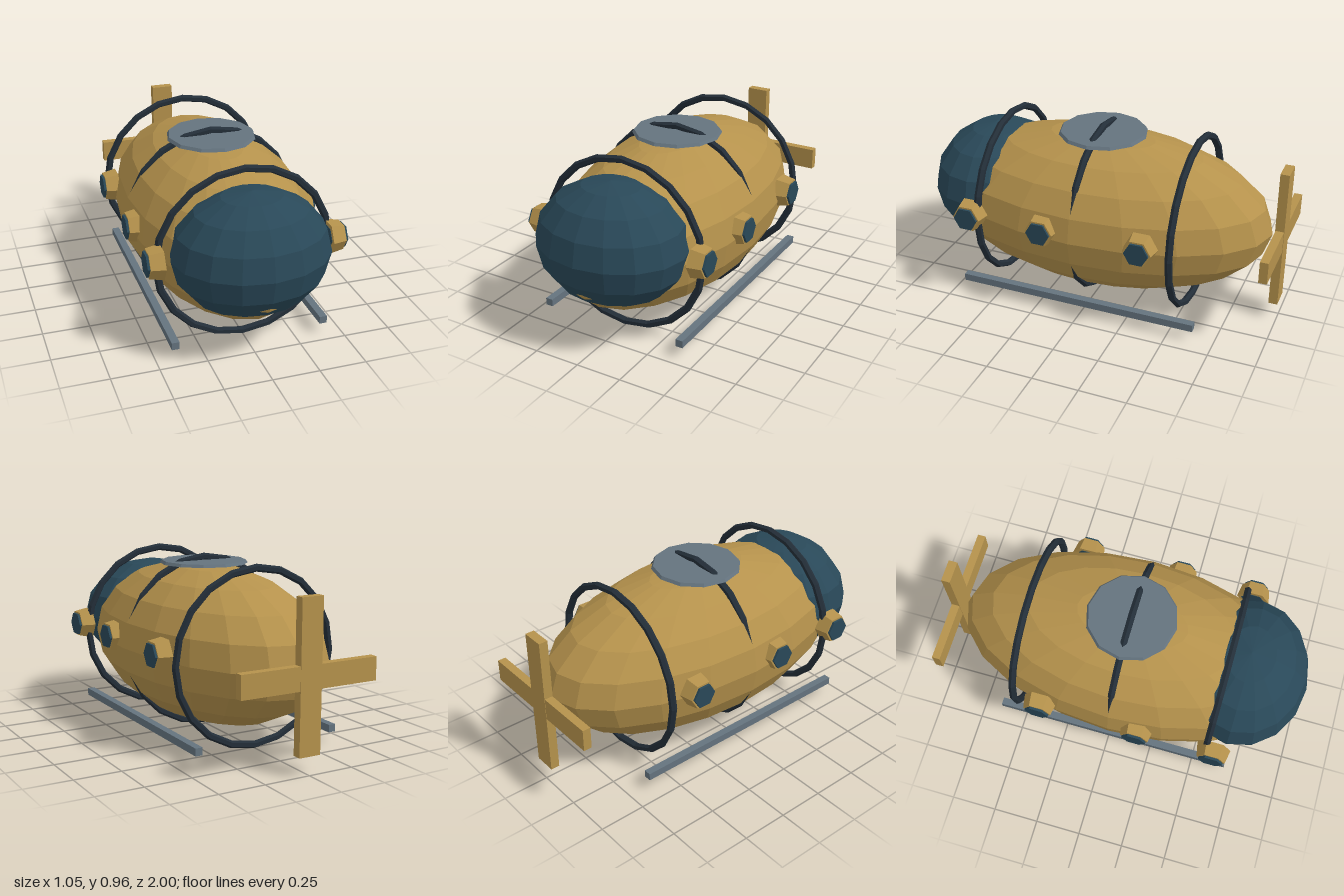
import * as THREE from 'three';

const mat = (color) => new THREE.MeshStandardMaterial({ color, flatShading: true });

export function createModel() {
  const model = new THREE.Group();
  const brass = mat(0xb5924c);
  const glass = mat(0x294858);
  const iron = mat(0x232e38);
  const steel = mat(0x64737e);
  const midY = 0.485, midZ = 0.025;

  const add = (name, geometry, material, x, y, z, parent = model) => {
    const mesh = new THREE.Mesh(geometry, material);
    mesh.name = name;
    mesh.position.set(x, y, z);
    parent.add(mesh);
    return mesh;
  };

  // Long egg-shaped hull and the viewing dome set into its nose
  add('hull', new THREE.SphereGeometry(1, 20, 10).scale(0.49, 0.43, 0.955), brass, 0, midY, midZ);
  add('noseDome', new THREE.SphereGeometry(1, 16, 8).scale(0.41, 0.325, 0.34), glass, 0, 0.545, 0.66);

  // Three hoops around the hull
  for (const z of [0.56, 0.022, -0.512]) {
    add('hoop', new THREE.TorusGeometry(0.46, 0.02, 6, 20), iron, 0, midY, z);
  }

  // Thin hatch plate on top
  add('hatch', new THREE.CylinderGeometry(0.23, 0.24, 0.016, 12), steel, 0, 0.92, 0.022);

  for (const side of [1, -1]) {
    // Portholes: brass rim with a protruding pane
    for (const z of [0.6, 0.18, -0.36]) {
      const porthole = new THREE.Group();
      porthole.name = 'porthole';
      porthole.position.set(side * 0.475, 0.525, z);
      porthole.rotation.z = -side * Math.PI / 2;
      add('rim', new THREE.CylinderGeometry(0.076, 0.09, 0.075, 6), brass, 0, 0, 0, porthole);
      add('pane', new THREE.CylinderGeometry(0.066, 0.066, 0.09, 6), glass, 0, 0.005, 0, porthole);
      model.add(porthole);
    }
    // Landing skid
    add('skid', new THREE.BoxGeometry(0.04, 0.04, 1.33), steel, side * 0.4, 0.085, 0.025);
  }

  // Four-armed propeller behind the tail
  const propeller = new THREE.Group();
  propeller.name = 'propeller';
  propeller.position.set(0, midY, -0.976);
  add('bladeVertical', new THREE.BoxGeometry(0.12, 0.77, 0.048), brass, 0, 0, 0, propeller);
  add('bladeHorizontal', new THREE.BoxGeometry(0.77, 0.12, 0.044), brass, 0, 0, 0, propeller);
  model.add(propeller);

  return model;
}
